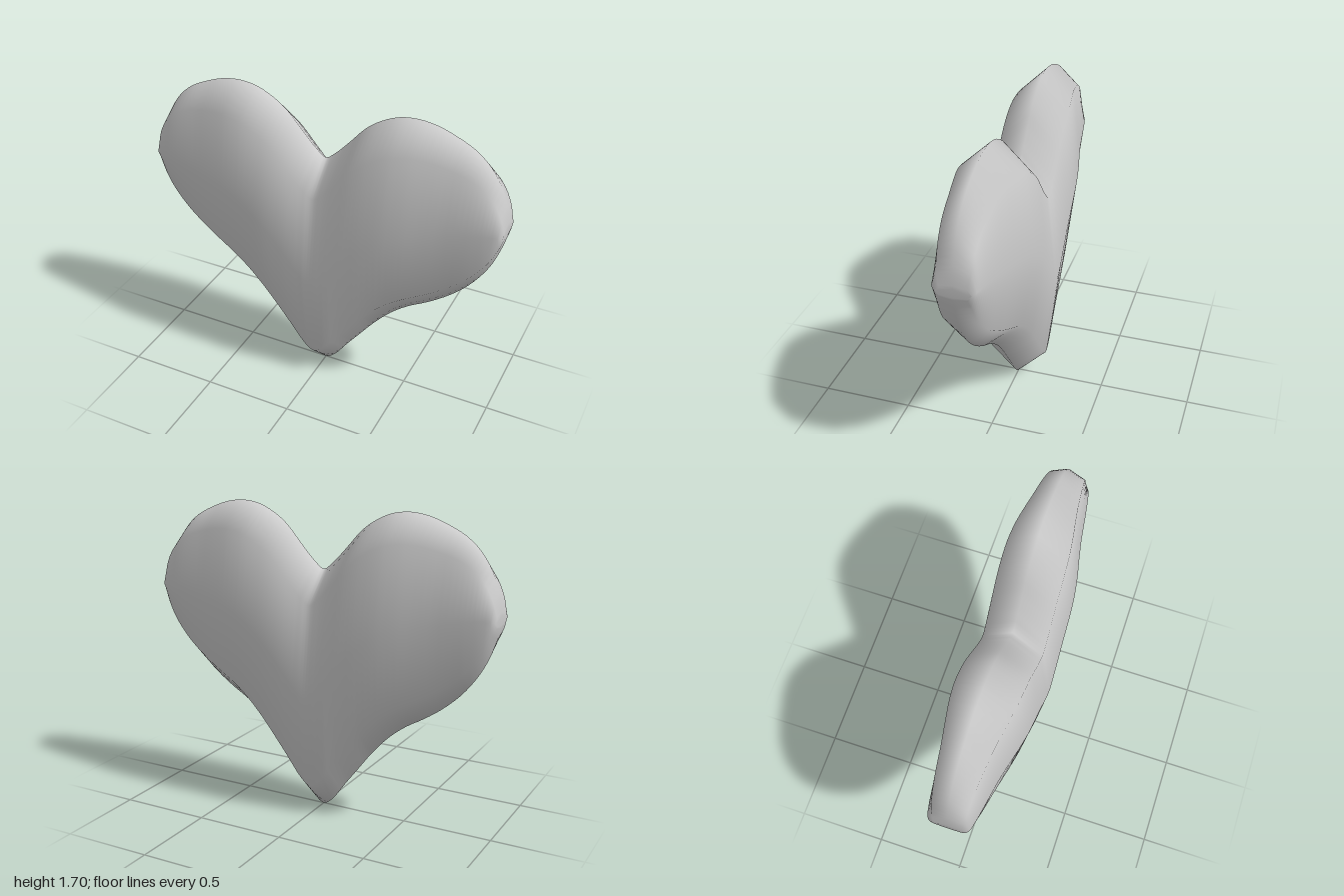
import * as THREE from 'three';

// Half of the heart from the centre outwards: x, top y, bottom y, half depth
const STATIONS = [
  [0, 1.36, 0, 0.22], [0.05, 1.395, 0.03, 0.22], [0.14, 1.49, 0.15, 0.22],
  [0.22, 1.58, 0.255, 0.22], [0.3, 1.64, 0.36, 0.22], [0.4, 1.685, 0.47, 0.215],
  [0.5, 1.698, 0.55, 0.2], [0.6, 1.685, 0.61, 0.178], [0.7, 1.65, 0.68, 0.158],
  [0.8, 1.6, 0.77, 0.143], [0.88, 1.53, 0.87, 0.131], [0.94, 1.44, 0.975, 0.12],
  [0.98, 1.33, 1.085, 0.11], [0.993, 1.27, 1.13, 0.1], [1, 1.22, 1.17, 0.09],
];

// Eight-sided cross-section: unit z, unit y
const SECTION = [[0, 1], [0.75, 0.75], [1, 0], [0.75, -0.75], [0, -1], [-0.75, -0.75], [-1, 0], [-0.75, 0.75]];

function heartGeometry(steps) {
  const mirrored = STATIONS.slice(1).reverse().map(([x, ...rest]) => [-x, ...rest]);
  const all = [...mirrored, ...STATIONS];
  const outline = new THREE.CatmullRomCurve3(all.map(([x, top, bottom]) => new THREE.Vector3(x, top, bottom)));
  const depth = new THREE.CatmullRomCurve3(all.map(([x, , , d]) => new THREE.Vector3(x, d, 0)));

  const positions = [];
  const index = [];
  const n = SECTION.length;

  // Upright sections swept from one side to the other
  for (let i = 0; i <= steps; i++) {
    const { x, y: top, z: bottom } = outline.getPoint(i / steps);
    const d = depth.getPoint(i / steps).y;
    const middle = (top + bottom) / 2;
    const half = (top - bottom) / 2;
    for (const [z, y] of SECTION) positions.push(x, middle + half * y, d * z);
  }
  for (let i = 0; i < steps; i++) {
    for (let j = 0; j < n; j++) {
      const a = i * n + j;
      const b = i * n + ((j + 1) % n);
      index.push(a, b, a + n, b, b + n, a + n);
    }
  }

  // Narrow end caps
  const last = steps * n;
  for (let j = 1; j < n - 1; j++) {
    index.push(0, j + 1, j);
    index.push(last, last + j, last + j + 1);
  }

  const geometry = new THREE.BufferGeometry();
  geometry.setAttribute('position', new THREE.Float32BufferAttribute(positions, 3));
  geometry.setIndex(index);
  geometry.computeVertexNormals();
  return geometry;
}

export function createModel() {
  const group = new THREE.Group();
  group.name = 'heart';
  const body = new THREE.Mesh(
    heartGeometry((STATIONS.length - 1) * 2 * 3),
    new THREE.MeshStandardMaterial({ color: 0xcccccc })
  );
  body.name = 'heartBody';
  group.add(body);
  return group;
}
